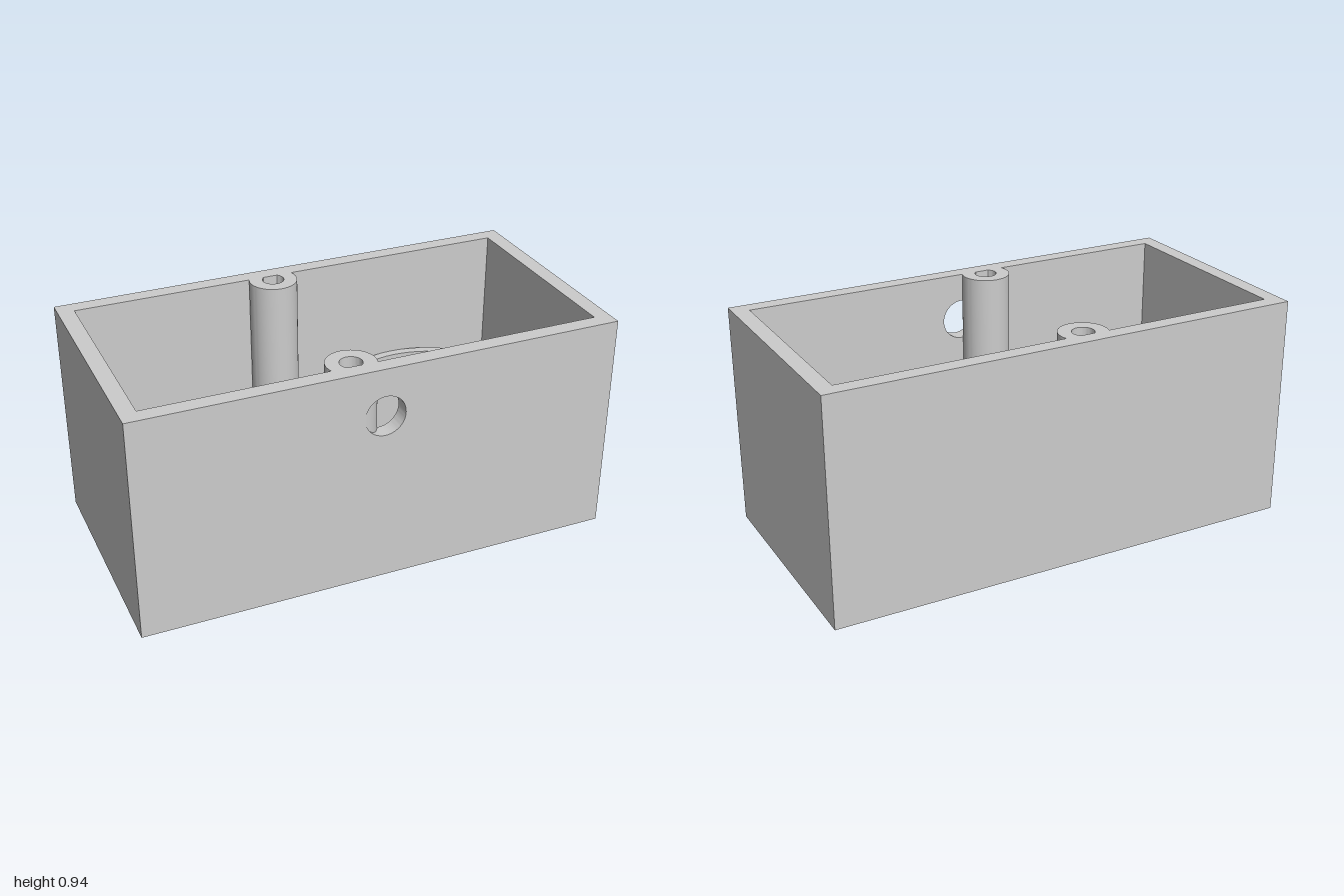
import * as THREE from 'three';
import { toCreasedNormals } from 'three/addons/utils/BufferGeometryUtils.js';

const H = 0.935, T = 0.067; // box height, wall and floor thickness
const plastic = new THREE.MeshStandardMaterial({ color: 0xcccccc });
plastic.name = 'grey plastic';

function polygon(points) {
  return new THREE.Shape(points.map(([x, y]) => new THREE.Vector2(x, y)));
}

function disc(x, y, r, Kind = THREE.Shape) {
  const path = new Kind();
  path.absarc(x, y, r, 0, Math.PI * 2, false);
  return path;
}

function extrude(name, shape, depth) {
  const geo = new THREE.ExtrudeGeometry(shape, { depth, bevelEnabled: false, curveSegments: 32 });
  const mesh = new THREE.Mesh(toCreasedNormals(geo, 0.6), plastic);
  mesh.name = name;
  return mesh;
}

// Extrudes a plan outline upward from y0 to y1 (plan y becomes -z)
function upright(name, shape, y0, y1) {
  const mesh = extrude(name, shape, y1 - y0);
  mesh.geometry.rotateX(-Math.PI / 2);
  mesh.position.y = y0;
  return mesh;
}

export function createModel() {
  const group = new THREE.Group();
  group.name = 'electronicsCase';

  // Floor with one large opening and a hexagonal group of sound holes
  const floor = polygon([[-1, -0.5], [1, -0.5], [1, 0.5], [-1, 0.5]]);
  const speakerX = 0.465;
  floor.holes.push(disc(-0.535, 0, 0.205, THREE.Path), disc(speakerX, 0, 0.031, THREE.Path));
  for (let i = 0; i < 6; i++) {
    const a = i * Math.PI / 3;
    floor.holes.push(disc(speakerX + 0.15 * Math.cos(a), 0.15 * Math.sin(a), 0.031, THREE.Path));
  }
  group.add(upright('floor', floor, 0, T));

  // Back and side walls as one U-shaped outline
  const zi = 0.5 - T, xi = 1 - T;
  const walls = polygon([[-1, -zi], [-xi, -zi], [-xi, zi], [xi, zi], [xi, -zi], [1, -zi], [1, 0.5], [-1, 0.5]]);
  group.add(upright('backAndSideWalls', walls, T, H));

  // Front wall with a round cable hole
  const front = polygon([[-1, T], [1, T], [1, H], [-1, H]]);
  front.holes.push(disc(0, 0.735, 0.084, THREE.Path));
  const frontWall = extrude('frontWall', front, T);
  frontWall.position.z = zi;
  group.add(frontWall);

  // Hollow screw posts merging into the front and back walls
  for (const side of [1, -1]) {
    const post = disc(-0.1, side * 0.399, 0.1);
    post.holes.push(disc(-0.1, side * 0.399, 0.045, THREE.Path));
    group.add(upright(side > 0 ? 'backScrewPost' : 'frontScrewPost', post, T, H));
  }

  // Round collar that holds the speaker
  const collar = disc(speakerX, 0, 0.432);
  collar.holes.push(disc(speakerX, 0, 0.395, THREE.Path));
  group.add(upright('speakerCollar', collar, T, 0.467));

  return group;
}
